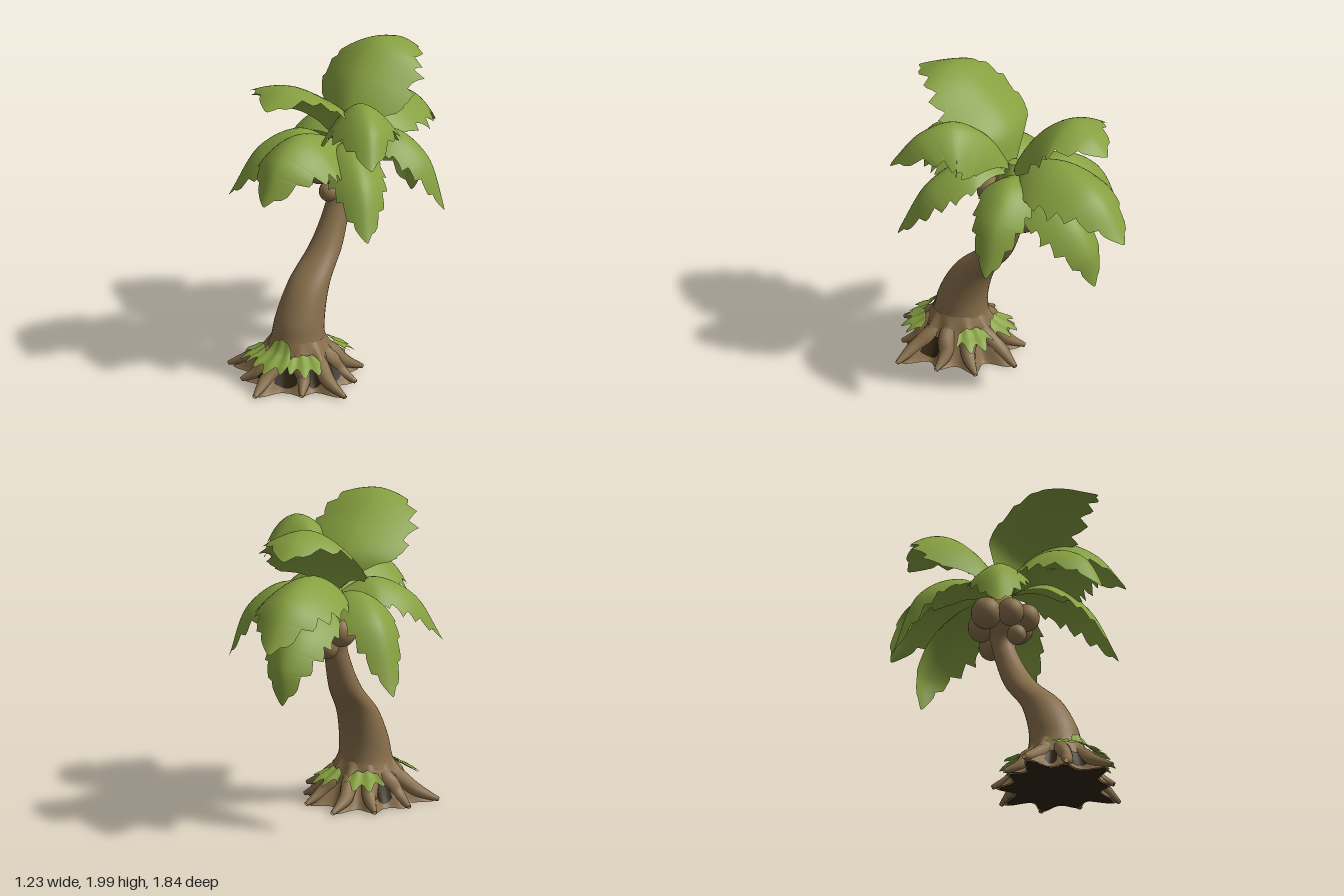
import * as THREE from 'three';

const green = new THREE.MeshStandardMaterial({ color: 0x86a040, side: THREE.DoubleSide });
green.name = 'leaf green';
const brown = new THREE.MeshStandardMaterial({ color: 0x8a704c, side: THREE.DoubleSide });
brown.name = 'bark brown';
const dark = new THREE.MeshStandardMaterial({ color: 0x30240f, side: THREE.DoubleSide });
dark.name = 'hollow dark brown';

const vec = (a) => new THREE.Vector3(...a);
const curve = (pts) => new THREE.CatmullRomCurve3(pts.map(vec));

// Linear interpolation through [position, value] stops
function ramp(stops, t) {
  let i = 0;
  while (i < stops.length - 2 && t > stops[i + 1][0]) i++;
  const [a, va] = stops[i], [b, vb] = stops[i + 1];
  return THREE.MathUtils.lerp(va, vb, THREE.MathUtils.clamp((t - a) / (b - a), 0, 1));
}

// Surface grid; fn(u, v) returns a Vector3. A closed grid wraps around in v.
function sheet(rows, cols, fn, closed = false) {
  const pos = [], idx = [], n = closed ? cols : cols + 1;
  for (let i = 0; i <= rows; i++)
    for (let j = 0; j < n; j++) pos.push(...fn(i / rows, j / cols).toArray());
  for (let i = 0; i < rows; i++)
    for (let j = 0; j < cols; j++) {
      const a = i * n + j, b = i * n + (j + 1) % n, c = a + n, d = b + n;
      idx.push(a, c, b, b, c, d);
    }
  const g = new THREE.BufferGeometry();
  g.setAttribute('position', new THREE.Float32BufferAttribute(pos, 3));
  g.setIndex(idx);
  g.computeVertexNormals();
  return g;
}

// Arched palm leaf along a ridge, with torn, tooth-like edges
const LEAF = [[0, 0.12], [0.1, 0.38], [0.22, 0.84], [0.34, 1], [0.58, 1], [0.75, 0.8], [0.9, 0.45], [1, 0.03]];
function leafGeometry({ path, width, droop, roll = 0, teeth = 7 }) {
  const ridge = curve(path);
  const flat = ridge.getPoint(1).sub(ridge.getPoint(0)).setY(0).normalize();
  const across = new THREE.Vector3(0, 1, 0).cross(flat).normalize();
  return sheet(72, 16, (u, v) => {
    const p = ridge.getPointAt(u), t = ridge.getTangentAt(u);
    const normal = t.clone().cross(across).normalize();
    const side = across.clone().multiplyScalar(Math.cos(roll)).addScaledVector(normal, Math.sin(roll));
    const up = t.clone().cross(side).normalize();
    const k = v * 2 - 1;
    const saw = (u * teeth + (k > 0 ? 0.4 : 0)) % 1;
    const depth = ramp([[0, 0], [0.3, 0.04], [0.5, 0.2], [1, 0.38]], u);
    const w = width * ramp(LEAF, u);
    const s = k * w * (1.08 - depth * (1 - saw));
    const drop = droop * width * Math.pow(Math.abs(s) / width, 1.7);
    return p.addScaledVector(side, s).addScaledVector(up, -drop);
  });
}

// Tapered round limb along a path
function limb(path, radii, rows = 14, cols = 10) {
  const c = curve(path);
  return sheet(rows, cols, (u, v) => {
    const p = c.getPoint(u), t = c.getTangent(u);
    const side = new THREE.Vector3(0, 1, 0).cross(t).normalize();
    const up = t.clone().cross(side);
    const a = v * Math.PI * 2, r = ramp(radii, u);
    p.addScaledVector(side, Math.cos(a) * r).addScaledVector(up, Math.sin(a) * r);
    p.y = Math.max(p.y, 0.003);
    return p;
  }, true);
}

// Roots around the foot: [angle in degrees from the front, reach]
const ROOTS = [[0, 0.46], [40, 0.36], [75, 0.475], [108, 0.38], [145, 0.42], [180, 0.465],
  [-145, 0.41], [-108, 0.39], [-75, 0.475], [-40, 0.37]];
const CENTRE = 0.455;
function at(deg, r, y) {
  const a = THREE.MathUtils.degToRad(deg);
  return [Math.sin(a) * r, y, CENTRE + Math.cos(a) * r];
}

// Ground outline of the foot, bulging out along each root
function footReach(deg) {
  let r = 0.29;
  for (const [angle, reach] of ROOTS) {
    const d = Math.abs(((deg - angle) % 360 + 540) % 360 - 180);
    r += (reach * 0.93 - 0.29) * Math.exp(-((d / 9) ** 2));
  }
  return r;
}
function foot(deg, u, lift = 0) {
  const r = THREE.MathUtils.lerp(0.166, footReach(deg), u);
  return vec(at(deg, r + lift, 0.003 + 0.287 * Math.pow(1 - u, 1.3)));
}

export function createModel() {
  const model = new THREE.Group();
  const add = (name, geometry, material, parent = model) => {
    const m = new THREE.Mesh(geometry, material);
    m.name = name;
    parent.add(m);
    return m;
  };
  const group = (name) => {
    const g = new THREE.Group();
    g.name = name;
    model.add(g);
    return g;
  };

  // Trunk: horizontal rings (radius, y, z) on an S-shaped centre line
  const spine = curve([[0.185, 0.23, 0.455], [0.17, 0.28, 0.45],
    [0.156, 0.4, 0.43], [0.132, 0.6, 0.338], [0.103, 0.8, 0.158], [0.081, 1, 0.053], [0.078, 1.12, 0.015],
    [0.135, 1.24, 0.015], [0.13, 1.36, 0], [0.06, 1.43, 0], [0.01, 1.45, 0]]);
  add('trunk', sheet(72, 32, (u, v) => {
    const p = spine.getPoint(u), a = v * Math.PI * 2;
    return new THREE.Vector3(p.x * Math.sin(a) - 0.008, p.y, p.z + p.x * Math.cos(a));
  }, true), brown);

  // Flared foot with rounded root ridges
  const roots = group('roots');
  add('rootFlare', sheet(14, 160, (u, v) => foot(v * 360, u), true), brown, roots);
  ROOTS.forEach(([deg, reach], i) => {
    const bend = i % 2 ? 4 : -3;
    add('root', limb([at(deg, 0.12, 0.21), at(deg, 0.21, 0.15), at(deg + bend, reach * 0.7, 0.075), at(deg, reach, 0.014)],
      [[0, 0.055], [0.4, 0.055], [0.7, 0.042], [1, 0.014]]), brown, roots);
  });

  // Dark hollows between the roots, and the open underside: [angle, half width in degrees]
  const hollows = group('hollows');
  [[21, 14], [-21, 14], [57, 9], [-57, 8], [92, 11], [-127, 11]].forEach(([deg, half]) => {
    add('rootHollow', sheet(8, 12, (u, v) => {
      const k = v * 2 - 1;
      return foot(deg + k * half, THREE.MathUtils.lerp(0.4, 0.84 - 0.15 * k * k, u), 0.007);
    }), dark, hollows);
  });
  add('underside', sheet(4, 120, (u, v) => vec(at(v * 360, u * footReach(v * 360) * 0.95, 0.002)), true), dark, hollows);

  // Moss draped over the roots: [angle, half width in degrees, inner radius]
  const moss = group('moss');
  const drape = [[0.165, 0.31], [0.185, 0.268], [0.21, 0.232], [0.26, 0.2], [0.31, 0.175], [0.37, 0.125]];
  [[0, 26, 0.168], [46, 23, 0.21], [-42, 20, 0.21], [150, 23, 0.21], [-155, 24, 0.21]].forEach(([deg, half, inner], i) => {
    add('mossPatch', sheet(12, 20, (u, v) => {
      const k = v * 2 - 1;
      const reach = 0.335 + 0.03 * Math.cos(k * 9 + i) - 0.04 * k * k;
      const r = THREE.MathUtils.lerp(inner + 0.03 * k ** 4, reach, u);
      return vec(at(deg + k * half * (0.9 + 0.1 * u), r + 0.006, ramp(drape, r) + 0.006 * Math.cos(k * 8 + i)));
    }), green, moss);
  });

  // Coconuts: x, y, z, radius
  const coconuts = group('coconuts');
  [[0.14, 1.28, 0.01, 0.097], [-0.175, 1.275, 0.02, 0.097], [0.1, 1.225, -0.08, 0.09], [-0.1, 1.23, -0.08, 0.09],
    [0.07, 1.29, 0.14, 0.085], [-0.08, 1.28, 0.14, 0.085], [-0.01, 1.15, 0.13, 0.062], [0, 1.13, -0.09, 0.08]].forEach(([x, y, z, r]) => {
    const nut = add('coconut', new THREE.SphereGeometry(r, 20, 14), brown, coconuts);
    nut.position.set(x, y, z);
    nut.scale.y = 1.06;
  });

  // Leaf crown
  const crown = group('crown');
  const hub = add('crownHub', new THREE.CylinderGeometry(0.04, 0.09, 0.14, 16), green, crown);
  hub.position.y = 1.45;
  const leaves = {
    upperFrontLeaf: { path: [[0, 1.48, 0.02], [-0.03, 1.7, 0.08], [-0.05, 1.87, 0.28], [-0.04, 1.995, 0.55], [0, 1.92, 0.79]], width: 0.32, droop: 0.32, roll: 0.04 },
    upperBackLeaf: { path: [[0, 1.48, -0.03], [-0.03, 1.65, -0.09], [-0.05, 1.83, -0.22], [-0.04, 1.98, -0.44], [-0.02, 1.95, -0.62], [-0.02, 1.85, -0.76]], width: 0.32, droop: 0.5 },
    longFrontLeaf: { path: [[0, 1.46, 0.03], [0, 1.56, 0.2], [0, 1.63, 0.43], [0, 1.53, 0.67], [0, 1.28, 0.82]], width: 0.275, droop: 0.75 },
    longBackLeaf: { path: [[0, 1.47, -0.03], [0, 1.6, -0.18], [0, 1.65, -0.4], [0, 1.56, -0.7], [0, 1.28, -0.92]], width: 0.27, droop: 0.65 },
    upperLeftLeaf: { path: [[0, 1.47, 0.02], [0.14, 1.73, 0.1], [0.32, 1.86, 0.22], [0.49, 1.79, 0.36], [0.61, 1.57, 0.5]], width: 0.235, droop: 0.95 },
    lowerFrontRightLeaf: { path: [[0, 1.44, 0.03], [-0.2, 1.54, 0.17], [-0.41, 1.42, 0.31], [-0.55, 1.1, 0.45]], width: 0.19, droop: 0.65 },
    lowerFrontLeftLeaf: { path: [[0, 1.44, 0.03], [0.2, 1.54, 0.19], [0.42, 1.4, 0.35], [0.56, 1.06, 0.48]], width: 0.18, droop: 0.65 },
    lowerBackRightLeaf: { path: [[0, 1.44, -0.03], [-0.24, 1.53, -0.16], [-0.46, 1.4, -0.29], [-0.61, 0.95, -0.39]], width: 0.18, droop: 0.55 },
    lowerBackLeftLeaf: { path: [[0, 1.44, -0.03], [0.25, 1.54, -0.17], [0.47, 1.38, -0.25], [0.59, 1.04, -0.28]], width: 0.175, droop: 0.55 },
    lowerBackLeaf: { path: [[0, 1.44, -0.03], [0.02, 1.45, -0.28], [0.03, 1.33, -0.53], [0.03, 1.12, -0.67], [0.02, 0.89, -0.69]], width: 0.21, droop: 0.7 },
  };
  for (const [name, spec] of Object.entries(leaves)) add(name, leafGeometry(spec), green, crown);

  return model;
}
